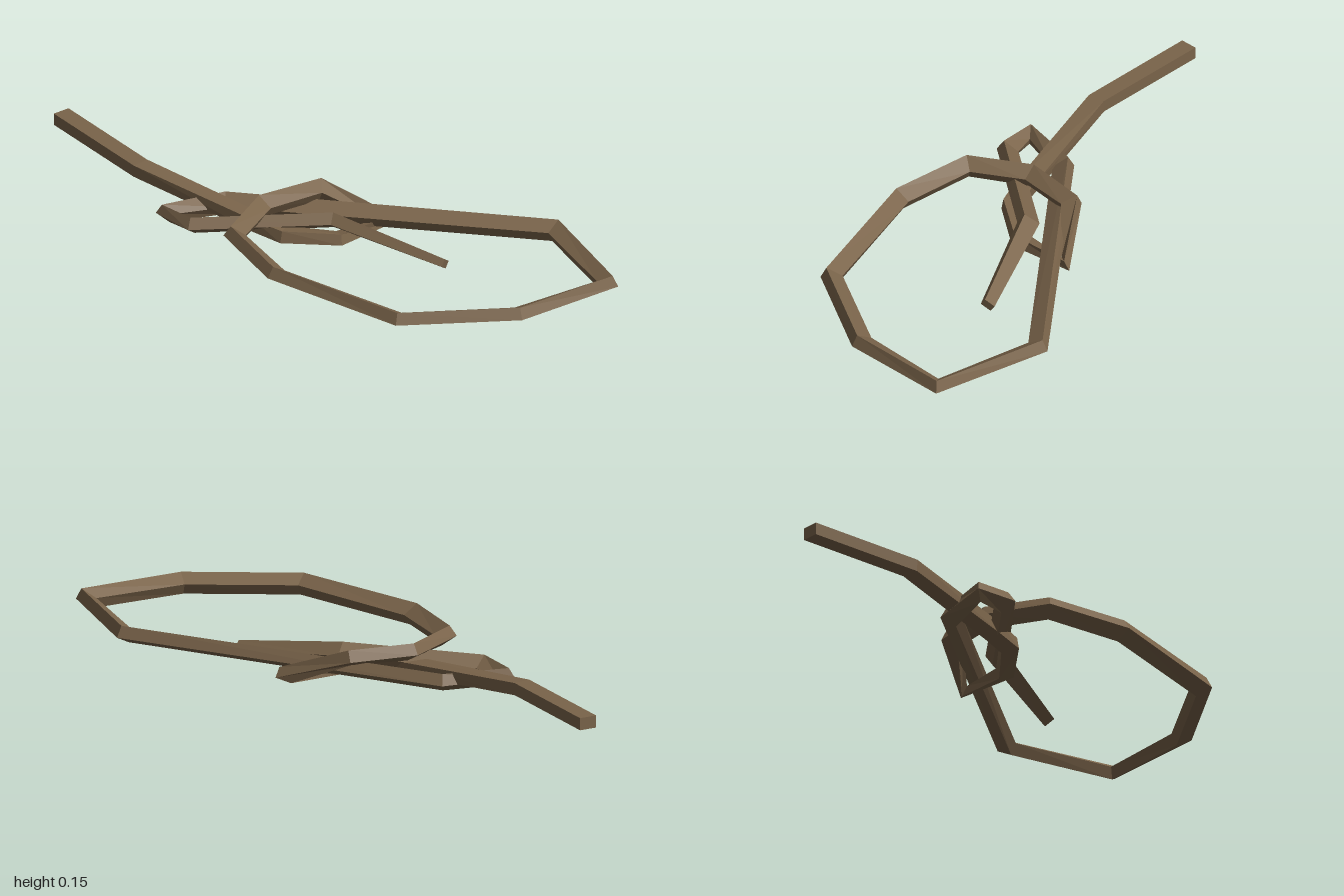
import * as THREE from 'three';

// Rope centre line: x, y, z, roll in degrees, size factor
const PATH = [
  [-0.52, 0.096, -1.0, 0, 1],
  [-0.475, 0.096, -0.555, 0, 1],
  [-0.29, 0.055, -0.08, 5, 1],
  [-0.25, 0.045, 0.01, 10, 1],
  [-0.09, 0.03, 0.105, 15, 0.9],
  [0.115, 0.03, 0.08, 20, 0.9],
  [-0.05, 0.118, -0.085, 25, 1],
  [-0.27, 0.113, -0.095, 30, 1],
  [-0.455, 0.11, 0.03, 35, 1],
  [-0.465, 0.1, 0.32, 32, 1],
  [-0.265, 0.094, 0.79, 27, 1],
  [0.1, 0.094, 0.965, 27, 1],
  [0.465, 0.094, 0.94, 27, 1],
  [0.505, 0.094, 0.53, 27, 1],
  [-0.31, 0.052, -0.27, 30, 1],
  [-0.525, 0.055, -0.305, 32, 0.9],
  [-0.495, 0.06, -0.18, 35, 1],
  [-0.09, 0.085, 0.07, 35, 1],
  [0.13, 0.026, 0.435, 35, 0.65],
];
const HALF_WIDTH = 0.031;
const HALF_HEIGHT = 0.0215;

// Four corners of the rolled rope section at every path point
function makeRings() {
  const points = PATH.map(([x, y, z]) => new THREE.Vector3(x, y, z));
  const dir = (i) => points[i + 1].clone().sub(points[i]).normalize();
  return points.map((p, i) => {
    const t = new THREE.Vector3();
    if (i > 0) t.add(dir(i - 1));
    if (i < points.length - 1) t.add(dir(i));
    t.normalize();
    const side = new THREE.Vector3(0, 1, 0).cross(t).normalize();
    const up = t.clone().cross(side);
    const roll = THREE.MathUtils.degToRad(PATH[i][3]);
    const c = Math.cos(roll), s = Math.sin(roll), size = PATH[i][4];
    const wide = side.clone().multiplyScalar(c).addScaledVector(up, -s);
    const thin = side.clone().multiplyScalar(s).addScaledVector(up, c);
    return [[1, 1], [-1, 1], [-1, -1], [1, -1]].map(([a, b]) => p.clone()
      .addScaledVector(wide, a * HALF_WIDTH * size)
      .addScaledVector(thin, b * HALF_HEIGHT * size));
  });
}

// Join rings first..last into one length of rope, closing the free ends
function ropeGeometry(rings, first, last) {
  const verts = [];
  const quad = (a, b, c, d) => {
    for (const v of [a, b, c, a, c, d]) verts.push(v.x, v.y, v.z);
  };
  for (let i = first; i < last; i++) {
    for (let k = 0; k < 4; k++) {
      const n = (k + 1) % 4;
      quad(rings[i][k], rings[i][n], rings[i + 1][n], rings[i + 1][k]);
    }
  }
  if (first === 0) quad(...[...rings[0]].reverse());
  if (last === rings.length - 1) quad(...rings[last]);
  const geometry = new THREE.BufferGeometry();
  geometry.setAttribute('position', new THREE.Float32BufferAttribute(verts, 3));
  geometry.computeVertexNormals();
  return geometry;
}

export function createModel() {
  const group = new THREE.Group();
  group.name = 'knottedRope';
  const material = new THREE.MeshStandardMaterial({ color: 0x7a644a, flatShading: true });
  material.name = 'ropeBrown';
  const rings = makeRings();
  const parts = [
    ['longTail', 0, 2],
    ['lowerKnotTurn', 2, 7],
    ['noose', 7, 14],
    ['knotFold', 14, 17],
    ['shortEnd', 17, 18],
  ];
  for (const [name, first, last] of parts) {
    const mesh = new THREE.Mesh(ropeGeometry(rings, first, last), material);
    mesh.name = name;
    group.add(mesh);
  }
  return group;
}
